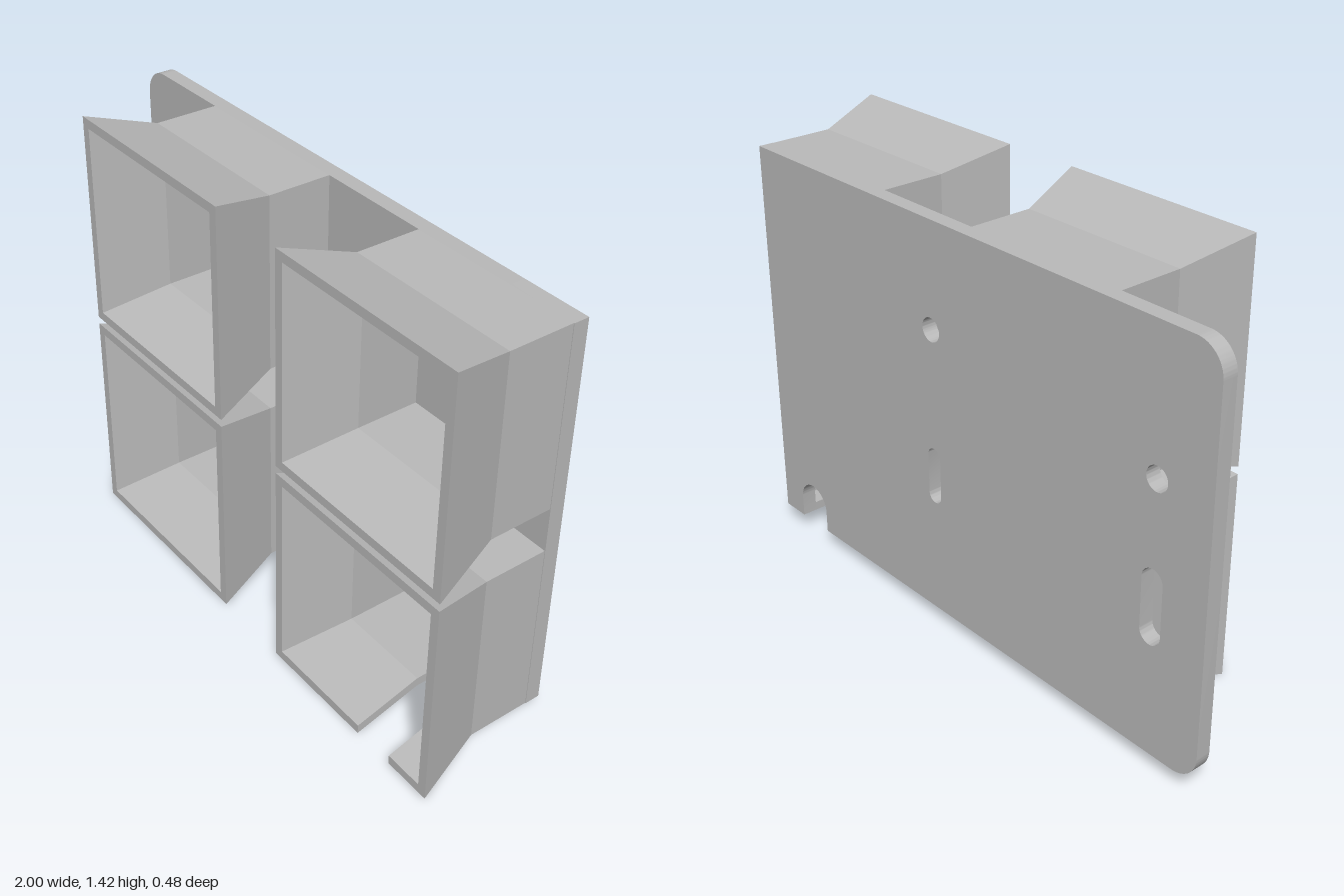
import * as THREE from 'three';
import { toCreasedNormals } from 'three/addons/utils/BufferGeometryUtils.js';

const BACK = -0.24, FLOOR = -0.19, BEND = 0.02, FRONT = 0.24;
const NOTCH = { x0: 0.70, x1: 0.84, top: 0.21 };

// Wall cross-section: [half width, z], outer back to front, then inner front to back
const RINGS = [[0.29, FLOOR], [0.29, BEND], [0.35, FRONT], [0.32, FRONT], [0.26, BEND], [0.26, FLOOR]];

// Vertical slot hole (a circle when height equals width)
function slot(cx, y0, y1, r) {
  const p = new THREE.Path();
  p.absarc(cx, y1 - r, r, 0, Math.PI, false);
  p.absarc(cx, y0 + r, r, Math.PI, Math.PI * 2, false);
  p.closePath();
  return p;
}

function plateGeometry() {
  const l = -1, r = 0.94, b = 0.065, t = 1.37, c = 0.09;
  const nr = (NOTCH.x1 - NOTCH.x0) / 2;
  const s = new THREE.Shape();
  s.moveTo(l + c, b);
  s.lineTo(NOTCH.x0, b);
  s.lineTo(NOTCH.x0, NOTCH.top - nr);
  s.absarc(NOTCH.x0 + nr, NOTCH.top - nr, nr, Math.PI, 0, true);
  s.lineTo(NOTCH.x1, b);
  s.lineTo(r, b);
  s.lineTo(r, t);
  s.lineTo(l + c, t);
  s.absarc(l + c, t - c, c, Math.PI / 2, Math.PI, false);
  s.lineTo(l, b + c);
  s.absarc(l + c, b + c, c, Math.PI, Math.PI * 1.5, false);
  s.holes.push(
    slot(-0.808, 0.897, 0.973, 0.038), slot(-0.808, 0.425, 0.665, 0.038),
    slot(0.096, 0.993, 1.069, 0.038), slot(0.096, 0.453, 0.64, 0.028));
  const g = new THREE.ExtrudeGeometry(s, { depth: FLOOR - BACK, bevelEnabled: false, curveSegments: 20 });
  g.translate(0, 0, BACK);
  return toCreasedNormals(g, 0.5);
}

// Four flared walls around an open box; cut = [x0, x1] leaves a gap in the bottom wall
function binGeometry(cut) {
  const pos = [];
  const quad = (pts, turn) => {
    const cs = Math.round(Math.cos(turn)), sn = Math.round(Math.sin(turn));
    for (const i of [0, 1, 2, 0, 2, 3]) {
      const [x, y, z] = pts[i];
      pos.push(x * cs - y * sn, x * sn + y * cs, z);
    }
  };
  const strip = (left, right, turn) => {
    for (let i = 0; i < RINGS.length - 1; i++) {
      const [h0, z0] = RINGS[i], [h1, z1] = RINGS[i + 1];
      quad([[left(h0), -h0, z0], [right(h0), -h0, z0], [right(h1), -h1, z1], [left(h1), -h1, z1]], turn);
    }
  };
  // End face of a cut wall
  const cap = (x, facesRight) => {
    for (const ids of [[0, 1, 4, 5], [1, 2, 3, 4]]) {
      const pts = ids.map(i => [x, -RINGS[i][0], RINGS[i][1]]);
      quad(facesRight ? pts.reverse() : pts, 0);
    }
  };
  for (let k = 0; k < 4; k++) {
    if (k === 0 && cut) {
      strip(h => -h, () => cut[0], 0);
      strip(() => cut[1], h => h, 0);
      cap(cut[0], true);
      cap(cut[1], false);
    } else {
      strip(h => -h, h => h, k * Math.PI / 2);
    }
  }
  const g = new THREE.BufferGeometry();
  g.setAttribute('position', new THREE.Float32BufferAttribute(pos, 3));
  g.computeVertexNormals();
  return g;
}

export function createModel() {
  const model = new THREE.Group();
  model.name = 'binPanel';
  const grey = new THREE.MeshStandardMaterial({ color: 0xbababa });
  grey.name = 'grey';

  // Mounting plate with screw holes, slots and cable notch
  const plate = new THREE.Mesh(plateGeometry(), grey);
  plate.name = 'backPlate';
  model.add(plate);

  // Two by two flared bins
  for (const [column, cx] of [['Right', -0.323], ['Left', 0.648]]) {
    for (const [row, cy] of [['upper', 1.08], ['lower', 0.355]]) {
      const notched = row === 'lower' && column === 'Left';
      const bin = new THREE.Mesh(binGeometry(notched ? [NOTCH.x0 - cx, NOTCH.x1 - cx] : null), grey);
      bin.name = `${row}${column}Bin`;
      bin.position.set(cx, cy, 0);
      model.add(bin);
    }
  }
  return model;
}
